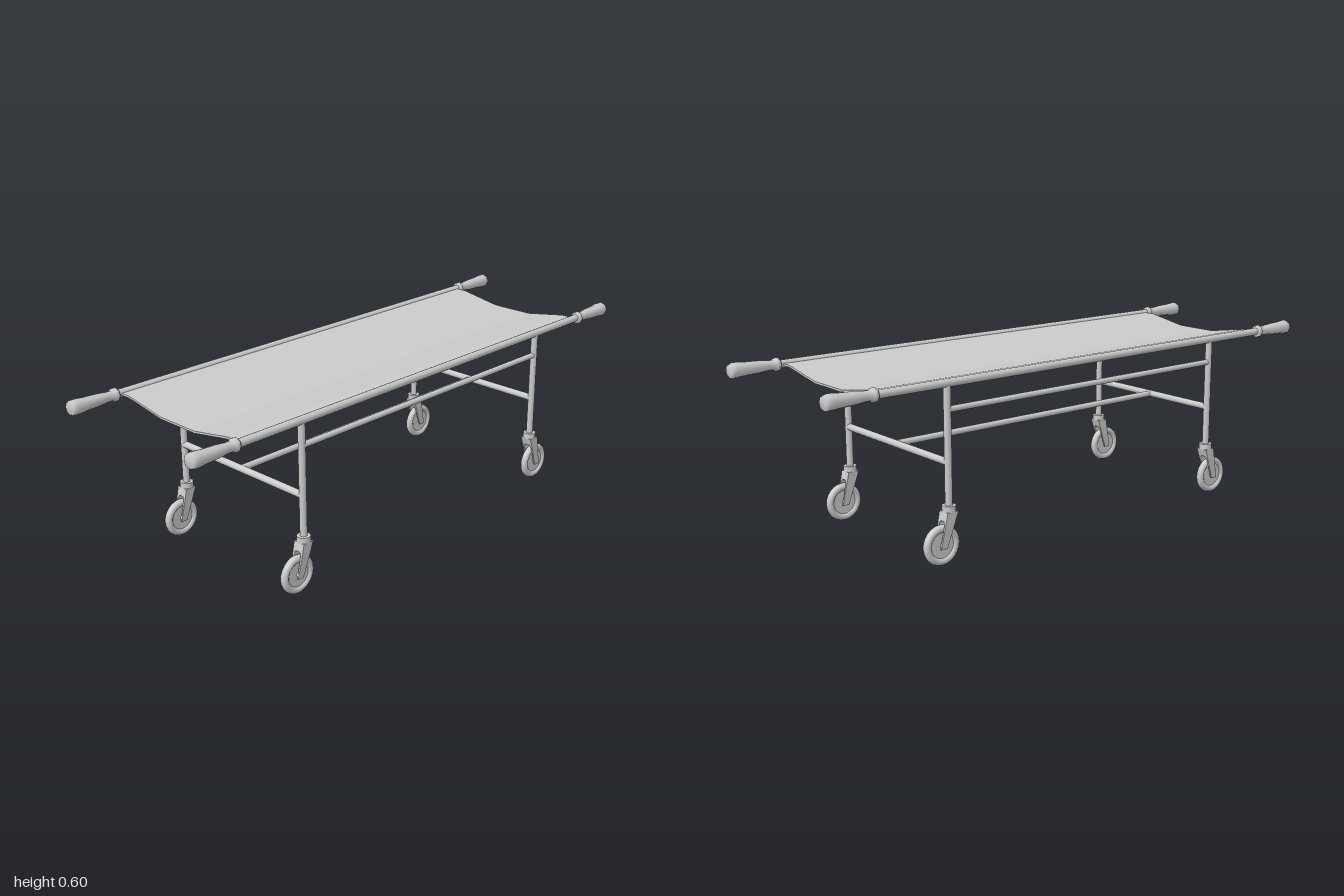
import * as THREE from 'three';

const mat = new THREE.MeshStandardMaterial({ color: 0xcccccc });
const RAIL_X = 0.287, RAIL_Y = 0.572, LEG_Z = 0.575;
const BAR_Y = 0.325, BRACE_Y = 0.49, WHEEL_R = 0.066;

function add(parent, name, geometry, x = 0, y = 0, z = 0) {
  const mesh = new THREE.Mesh(geometry, mat);
  mesh.name = name;
  mesh.position.set(x, y, z);
  parent.add(mesh);
  return mesh;
}

// Round tube along one axis, centred on its own origin
function rod(axis, radius, length, sides = 12) {
  const g = new THREE.CylinderGeometry(radius, radius, length, sides);
  if (axis === 'x') g.rotateZ(Math.PI / 2);
  if (axis === 'z') g.rotateX(Math.PI / 2);
  return g;
}

// Flared hand grip pointing along +z
function gripGeometry() {
  const profile = [
    [0, 0.825], [0.02, 0.825], [0.023, 0.83], [0.023, 0.84], [0.017, 0.846],
    [0.017, 0.865], [0.021, 0.9], [0.023, 0.945], [0.026, 0.975], [0.026, 0.99],
    [0.021, 1.0], [0, 1.0],
  ].map(([r, h]) => new THREE.Vector2(r, h));
  return new THREE.LatheGeometry(profile, 8).rotateX(Math.PI / 2);
}

// Inverted U, leaning outward and narrowing toward the axle
function forkGeometry() {
  const s = new THREE.Shape();
  s.moveTo(-0.022, 0.17);
  s.lineTo(-0.021, 0.125);
  s.lineTo(-0.018, 0.056);
  s.lineTo(-0.0135, 0.056);
  s.lineTo(-0.0145, 0.13);
  s.lineTo(-0.009, 0.142);
  s.lineTo(0.009, 0.142);
  s.lineTo(0.0145, 0.13);
  s.lineTo(0.0135, 0.056);
  s.lineTo(0.018, 0.056);
  s.lineTo(0.021, 0.125);
  s.lineTo(0.022, 0.17);
  s.closePath();
  const g = new THREE.ExtrudeGeometry(s, { depth: 1, bevelEnabled: false });
  const p = g.attributes.position;
  for (let i = 0; i < p.count; i++) {
    const t = (0.17 - p.getY(i)) / 0.114;
    const width = THREE.MathUtils.lerp(0.04, 0.024, t);
    p.setZ(i, (p.getZ(i) - 0.5) * width + 0.032 * t);
  }
  g.computeVertexNormals();
  return g;
}

// Swivel caster, trailing toward +z
function makeCaster() {
  const caster = new THREE.Group();
  caster.name = 'caster';
  add(caster, 'casterCollar', rod('y', 0.0225, 0.02, 16), 0, 0.179);
  add(caster, 'casterFork', forkGeometry());
  const wheel = new THREE.Group();
  wheel.name = 'wheel';
  wheel.position.set(0, WHEEL_R, 0.031);
  add(wheel, 'tyre', new THREE.TorusGeometry(WHEEL_R - 0.013, 0.013, 10, 24).rotateY(Math.PI / 2));
  add(wheel, 'wheelDisc', rod('x', 0.048, 0.012, 24));
  add(wheel, 'axle', rod('x', 0.009, 0.034, 12));
  caster.add(wheel);
  return caster;
}

// Sagging canvas sheet of constant thickness
function canvasGeometry() {
  const top = [[-RAIL_X, 0.575], [-0.235, 0.575], [-0.08, 0.549],
    [0.08, 0.549], [0.235, 0.575], [RAIL_X, 0.575]];
  const bottom = top.map(([x, y]) => [x, y - 0.007]).reverse();
  const s = new THREE.Shape([...top, ...bottom].map(([x, y]) => new THREE.Vector2(x, y)));
  return new THREE.ExtrudeGeometry(s, { depth: 1.63, bevelEnabled: false }).translate(0, 0, -0.815);
}

export function createModel() {
  const model = new THREE.Group();
  model.name = 'stretcher';
  add(model, 'canvas', canvasGeometry());

  // Carrying rails and side braces
  for (const sx of [1, -1]) {
    const x = sx * RAIL_X;
    add(model, 'rail', rod('z', 0.0135, 1.68), x, RAIL_Y);
    add(model, 'sideBrace', rod('z', 0.01, LEG_Z * 2), x, BRACE_Y);
    for (const sz of [1, -1]) {
      const grip = add(model, 'handGrip', gripGeometry(), x, RAIL_Y);
      if (sz < 0) grip.rotation.y = Math.PI;
      // Leg and its caster
      add(model, 'leg', rod('y', 0.012, RAIL_Y - 0.18), x, (RAIL_Y + 0.18) / 2, sz * LEG_Z);
      const caster = makeCaster();
      caster.position.set(x, 0, sz * LEG_Z);
      if (sz < 0) caster.rotation.y = Math.PI;
      model.add(caster);
    }
  }

  // Cross bars joined by a central spine
  for (const sz of [1, -1]) {
    add(model, 'crossBar', rod('x', 0.012, RAIL_X * 2), 0, BAR_Y, sz * LEG_Z);
  }
  add(model, 'spineBar', rod('z', 0.011, LEG_Z * 2), 0, BAR_Y);
  return model;
}
